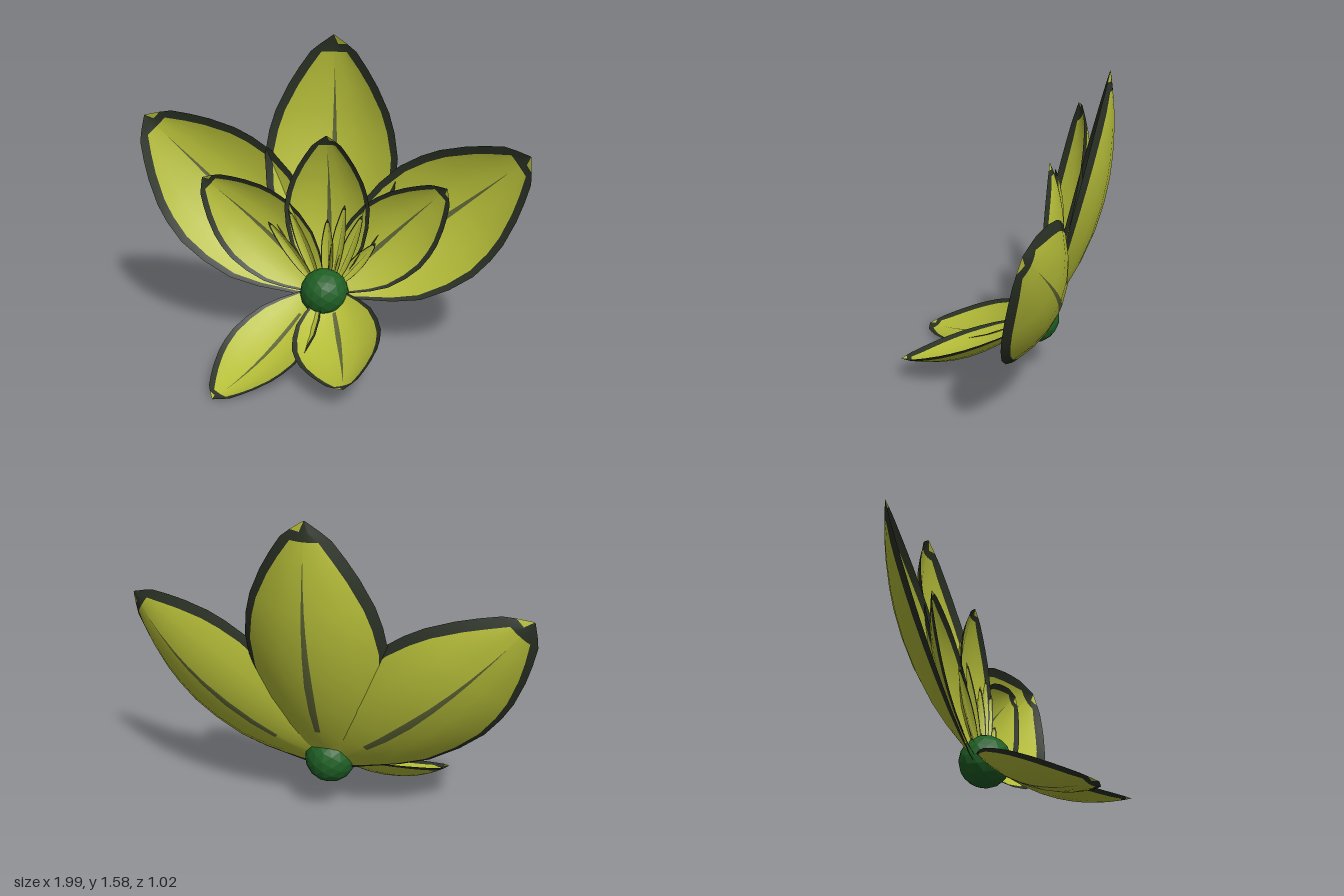
import * as THREE from 'three';

const mat = (name, color, extra = {}) => {
  const m = new THREE.MeshStandardMaterial({ color, ...extra });
  m.name = name;
  return m;
};
const two = { side: THREE.DoubleSide };

// Petal outline: [position along the axis, share of the half width]
const OUTLINE = [[0, 0.25], [0.08, 0.45], [0.16, 0.65], [0.27, 0.86], [0.4, 0.97], [0.52, 1], [0.62, 0.94],
  [0.7, 0.85], [0.8, 0.67], [0.87, 0.51], [0.935, 0.34], [0.965, 0.2], [1, 0.01]];

// Cupped petal from base to tip; side is the rough direction across it
function petal(name, base, tip, side, halfWidth, depth, materials) {
  const a = new THREE.Vector3(...base), axis = new THREE.Vector3(...tip).sub(a);
  const dir = axis.clone().normalize();
  const across = new THREE.Vector3(...side);
  across.addScaledVector(dir, -across.dot(dir)).normalize();
  const normal = across.clone().cross(dir);
  const pos = [], faces = [[], [], []];
  const cols = 10;
  OUTLINE.forEach(([t, w]) => {
    const inner = Math.max(w * 0.3, w - 0.16 * (0.3 + 0.7 * t));
    const vein = Math.min(inner * 0.2, 0.003 + 0.06 * Math.max(0, 1 - Math.abs(t - 0.35) / 0.5));
    const half = [vein, vein + (inner - vein) * 0.33, vein + (inner - vein) * 0.67, inner, w];
    const row = [...half.map((v) => -v).reverse(), ...half];
    for (const s of row) {
      const bow = -depth * 4 * t * (1 - t) * (1 - (s / w) ** 2);
      const p = a.clone().addScaledVector(axis, t)
        .addScaledVector(across, s * halfWidth).addScaledVector(normal, bow);
      pos.push(p.x, p.y, p.z);
    }
  });
  // Sort the faces into blade, rim and vein
  for (let r = 0; r < OUTLINE.length - 1; r++) {
    const t = OUTLINE[r][0];
    for (let c = 0; c < cols - 1; c++) {
      let kind = 0;
      if (c === 0 || c === cols - 2 || t > 0.93) kind = 1;
      else if (c === 4 && t > 0.1 && t < 0.86) kind = 2;
      if (t > 0.96 && c === cols - 2) kind = 0;
      const i = r * cols + c, j = i + cols;
      faces[kind].push(i, i + 1, j + 1, i, j + 1, j);
    }
  }
  const g = new THREE.BufferGeometry();
  g.setAttribute('position', new THREE.Float32BufferAttribute(pos, 3));
  g.setIndex(faces.flat());
  let start = 0;
  faces.forEach((f, k) => { g.addGroup(start, f.length, k); start += f.length; });
  g.computeVertexNormals();
  const mesh = new THREE.Mesh(g, materials);
  mesh.name = name;
  return mesh;
}

export function createModel() {
  const flower = new THREE.Group();
  flower.name = 'flower';
  const materials = [mat('petalYellowGreen', 0xb5bd38, two), mat('rimDark', 0x2b3225, two),
    mat('veinOlive', 0x5c6334, two)];
  const green = mat('centreGreen', 0x1f5f25, { flatShading: true });

  // Round faceted centre
  const centre = new THREE.Mesh(new THREE.IcosahedronGeometry(0.127, 2), green);
  centre.name = 'centre';
  centre.position.set(-0.01, 0.305, -0.155);
  flower.add(centre);

  // name, base, tip, direction across, half width, cup depth
  const petals = [
    ['backPetal', [0, 0.33, -0.2], [-0.01, 1.585, -0.49], [1, 0, 0], 0.345, 0.14],
    ['backRightPetal', [-0.07, 0.33, -0.2], [-0.97, 1.18, -0.3], [0.66, 0.68, -0.3], 0.335, 0.13],
    ['backLeftPetal', [0.07, 0.33, -0.2], [0.995, 1.07, -0.2], [0.6, -0.72, 0.34], 0.335, 0.13],
    ['innerPetal', [0, 0.33, -0.19], [-0.01, 1.13, -0.22], [1, 0, 0], 0.22, 0.09],
    ['innerRightPetal', [-0.04, 0.33, -0.18], [-0.65, 0.89, -0.2], [0.68, 0.72, -0.15], 0.215, 0.08],
    ['innerLeftPetal', [0.04, 0.33, -0.18], [0.6, 0.89, -0.19], [0.7, -0.7, 0.15], 0.215, 0.08],
    ['frontRightPetal', [-0.06, 0.3, -0.15], [-0.46, 0.005, 0.48], [-0.87, 0.2, -0.45], 0.2, 0.075],
    ['frontLeftPetal', [0.02, 0.31, -0.15], [0.17, 0.12, 0.5], [-0.95, -0.27, 0.2], 0.225, 0.085],
  ];
  for (const p of petals) flower.add(petal(...p, materials));

  // Slender filaments around the centre
  const tips = [[-0.31, 0.67], [-0.2, 0.74], [0.0, 0.7], [0.09, 0.78], [0.18, 0.73], [0.25, 0.58]];
  tips.forEach(([x, y], i) => flower.add(
    petal('filament' + (i + 1), [x * 0.2, 0.34, -0.17], [x, y, -0.19], [1, -x, 0.3], 0.035, 0.02, materials)));

  return flower;
}
